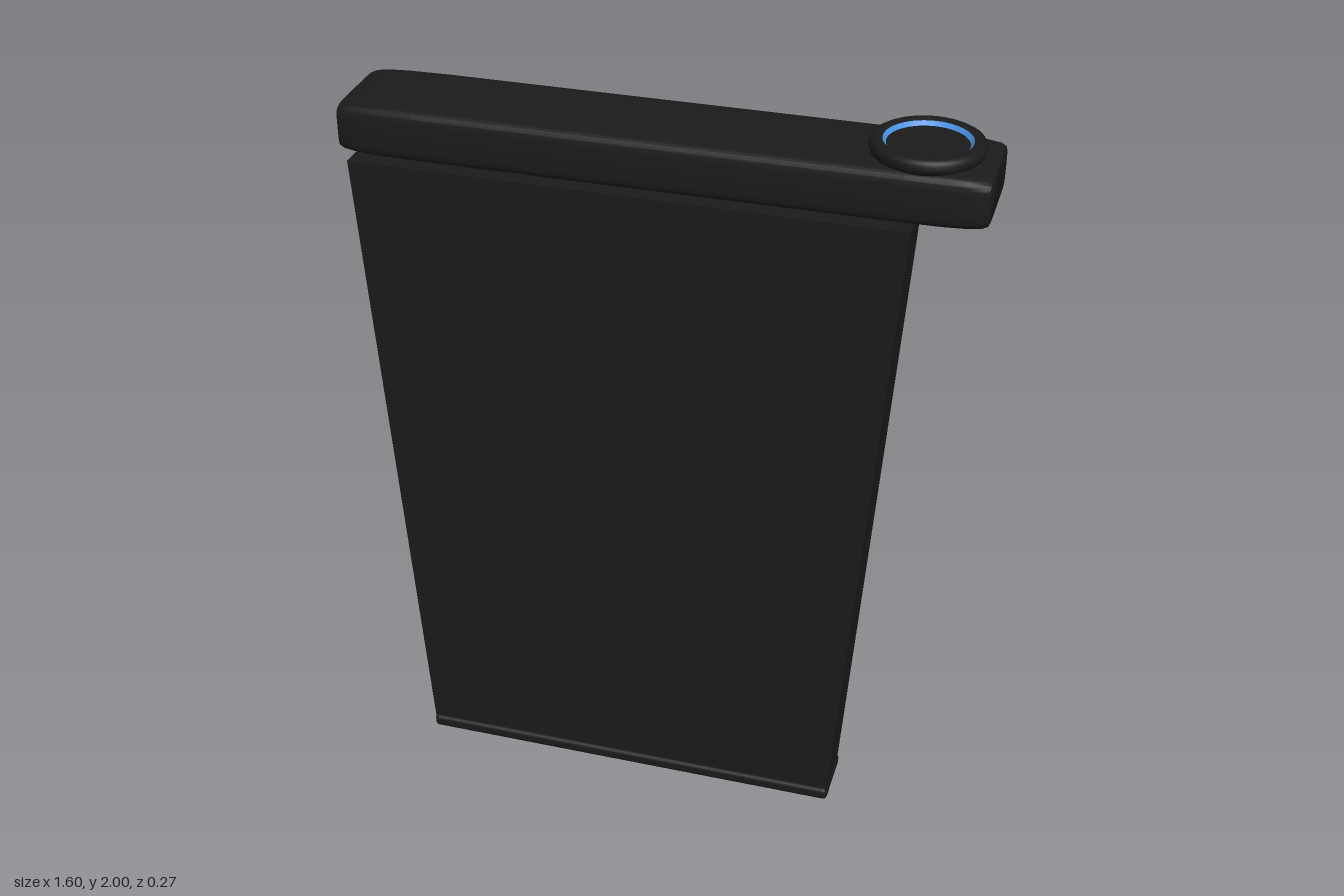
import * as THREE from 'three';
import { RoundedBoxGeometry } from 'three/addons/geometries/RoundedBoxGeometry.js';
import { toCreasedNormals } from 'three/addons/utils/BufferGeometryUtils.js';

const black = new THREE.MeshStandardMaterial({ color: 0x1b1b1b });
black.name = 'matte black';
const blue = new THREE.MeshStandardMaterial({ color: 0x4a90e2 });
blue.name = 'light blue';

// Loft of soft rectangles along x; each station is [x, halfHeight, halfDepth]
function softBar(stations, sides = 64) {
  const pos = [], index = [];
  const soft = (v) => Math.sign(v) * Math.pow(Math.abs(v), 0.3);
  for (const [x, h, d] of stations) {
    for (let i = 0; i < sides; i++) {
      const a = (i / sides) * Math.PI * 2;
      pos.push(x, soft(Math.cos(a)) * h, soft(Math.sin(a)) * d);
    }
  }
  for (let s = 0; s < stations.length - 1; s++) {
    for (let i = 0; i < sides; i++) {
      const a = s * sides + i, b = s * sides + (i + 1) % sides;
      index.push(a, b, a + sides, b, b + sides, a + sides);
    }
  }
  // end caps
  const last = (stations.length - 1) * sides;
  for (let i = 1; i < sides - 1; i++) {
    index.push(0, i + 1, i);
    index.push(last, last + i, last + i + 1);
  }
  const g = new THREE.BufferGeometry();
  g.setAttribute('position', new THREE.Float32BufferAttribute(pos, 3));
  g.setIndex(index);
  return toCreasedNormals(g, 0.6);
}

// Turned part from [radius, y] pairs, listed from the bottom outside to the top inside
function turned(pairs) {
  const profile = pairs.map(([r, y]) => new THREE.Vector2(r, y));
  return toCreasedNormals(new THREE.LatheGeometry(profile, 48), 0.7);
}

export function createModel() {
  const model = new THREE.Group();
  const add = (name, geometry, material, x = 0, y = 0, z = 0) => {
    const mesh = new THREE.Mesh(geometry, material);
    mesh.name = name;
    mesh.position.set(x, y, z);
    model.add(mesh);
  };

  // Tapered flat body
  const outline = new THREE.Shape([
    new THREE.Vector2(-0.677, 0.02), new THREE.Vector2(0.489, 0.02),
    new THREE.Vector2(0.615, 1.79), new THREE.Vector2(-0.803, 1.79),
  ]);
  add('body', new THREE.ExtrudeGeometry(outline, { depth: 0.152, bevelEnabled: false }), black, 0, 0, -0.076);

  // Base plate
  add('basePlate', new RoundedBoxGeometry(1.172, 0.036, 0.172, 3, 0.012), black, -0.093, 0.018, 0);

  // Floating lid bar with softened ends
  const half = [[0.6, 0.069, 0.137], [0.7, 0.068, 0.135], [0.75, 0.066, 0.133],
    [0.785, 0.062, 0.129], [0.797, 0.057, 0.124], [0.8, 0.05, 0.118]];
  const mirrored = half.map(([x, h, d]) => [-x, h, d]).reverse();
  add('lidBar', softBar([...mirrored, ...half]), black, 0, 1.9, 0);

  // Round cap with a recessed top
  add('cap', turned([[0.1, 1.95], [0.125, 1.961], [0.134, 1.969], [0.137, 1.977], [0.137, 1.987],
    [0.133, 1.995], [0.125, 2.0], [0.113, 1.999], [0.106, 1.996]]), black, 0.63);
  add('capFloor', new THREE.CircleGeometry(0.098, 48).rotateX(-Math.PI / 2), black, 0.63, 1.986, 0);

  // Sloping light ring between the rim and the floor of the cap
  add('lightRing', turned([[0.106, 1.996], [0.097, 1.985]]), blue, 0.63);

  return model;
}
